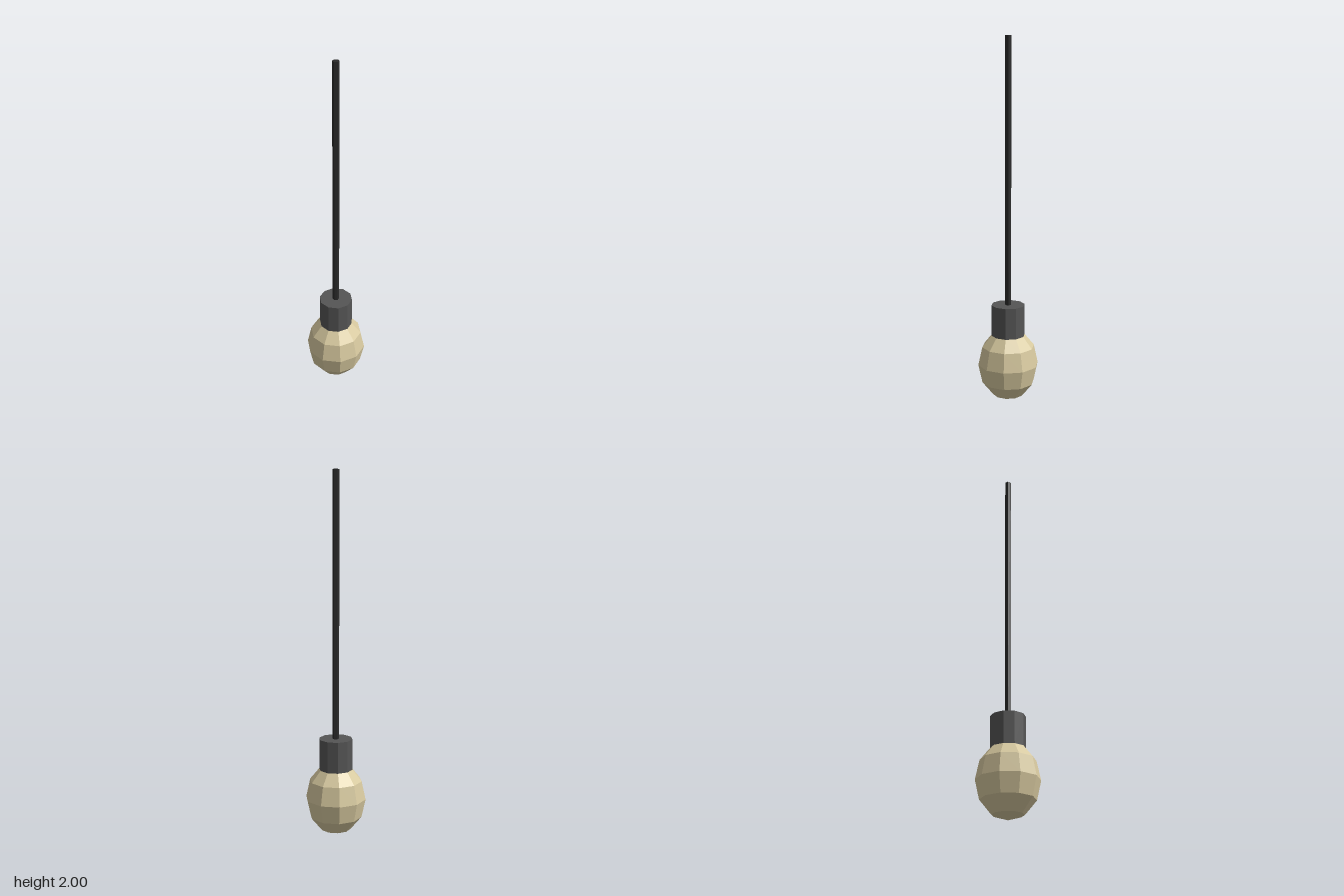
import * as THREE from 'three';

export function createModel() {
  const group = new THREE.Group();
  group.name = 'pendantLamp';

  const material = (name, color) => {
    const m = new THREE.MeshStandardMaterial({ color, flatShading: true });
    m.name = name;
    return m;
  };
  const add = (name, geometry, mat, y) => {
    const mesh = new THREE.Mesh(geometry, mat);
    mesh.name = name;
    mesh.position.y = y;
    group.add(mesh);
  };
  // Upright prism between two heights, with a corner facing the front
  const prism = (name, radius, sides, y0, y1, mat) =>
    add(name, new THREE.CylinderGeometry(radius, radius, y1 - y0, sides), mat, (y0 + y1) / 2);

  // Bulb: a faceted ball stretched upwards, its top sunk into the socket
  const bulb = new THREE.SphereGeometry(1, 10, 6);
  bulb.rotateY(Math.PI / 2);
  bulb.scale(0.168, 0.205, 0.168);
  add('bulb', bulb, material('warmGlass', 0xd8caa0), 0.205);

  // Socket and hanging cord
  prism('socket', 0.093, 10, 0.37, 0.545, material('greySocket', 0x555555));
  prism('cord', 0.0185, 6, 0.54, 2, material('blackCord', 0x2a2a2a));

  return group;
}
